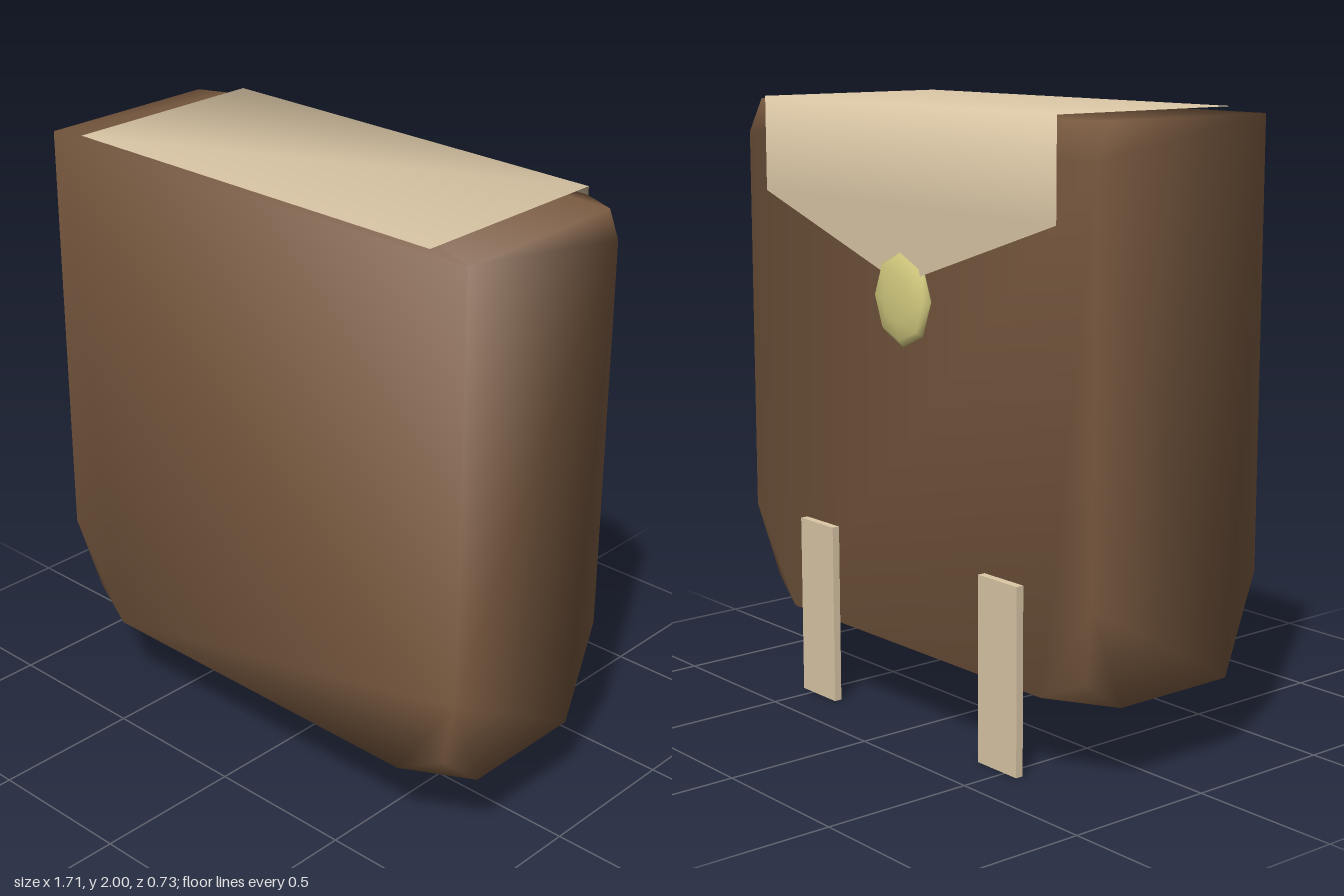
import * as THREE from 'three';
import { mergeVertices } from 'three/addons/utils/BufferGeometryUtils.js';
import { ConvexGeometry } from 'three/addons/geometries/ConvexGeometry.js';

function material(name, color, side = THREE.FrontSide) {
  const m = new THREE.MeshStandardMaterial({ color, side });
  m.name = name;
  return m;
}

function add(group, name, geometry, mat) {
  const mesh = new THREE.Mesh(geometry, mat);
  mesh.name = name;
  group.add(mesh);
  return mesh;
}

// Box whose lower and rear upper corners are trimmed, with soft shared normals
function bodyGeometry() {
  const X = 0.855, bottom = 0.27, top = 1.985, front = 0.365, back = -0.315;
  const points = [];
  for (const s of [-1, 1]) {
    const p = (x, y, z) => points.push(new THREE.Vector3(s * x, y, z));
    for (const z of [front, back]) {
      const d = Math.sign(z);
      p(X, bottom + 0.32, z);
      p(X - 0.07, bottom + 0.07, z - d * 0.04);
      p(X, bottom, z - d * 0.12);
      p(X - 0.22, bottom, z);
    }
    p(X, top, front);
    p(X - 0.12, top, back);
    p(X, top, back + 0.05);
    p(X, top - 0.11, back);
  }
  const g = new ConvexGeometry(points);
  g.deleteAttribute('normal');
  const merged = mergeVertices(g, 1e-4);
  merged.computeVertexNormals();
  return merged;
}

// Folded sheet: flat top, then a pointed panel hanging behind
function flapGeometry() {
  const w = 0.72, back = -0.342;
  const g = new THREE.BufferGeometry();
  g.setAttribute('position', new THREE.Float32BufferAttribute([
    -w, 2, 0.365, w, 2, 0.365,
    -w, 2, back, w, 2, back,
    -w, 1.69, back, w, 1.69, back,
    0, 1.45, back,
  ], 3));
  g.setIndex([0, 1, 3, 0, 3, 2, 2, 3, 5, 2, 5, 4, 4, 5, 6]);
  g.computeVertexNormals();
  return g;
}

export function createModel() {
  const group = new THREE.Group();
  group.name = 'satchel';
  const leather = material('brown leather', 0x7b5b41);
  const canvas = material('beige canvas', 0xdcc8a7, THREE.DoubleSide);
  const brass = material('pale brass', 0xd8cf82);

  add(group, 'body', bodyGeometry(), leather);
  add(group, 'flap', flapGeometry(), canvas);

  // Domed clasp, its pole pointing backwards
  const dome = new THREE.SphereGeometry(1, 8, 6);
  dome.rotateX(-Math.PI / 2);
  dome.scale(0.14, 0.155, 0.033);
  add(group, 'clasp', dome, brass).position.set(0, 1.405, -0.332);

  // Hanging straps
  for (const s of [-1, 1]) {
    const strap = add(group, s > 0 ? 'leftStrap' : 'rightStrap',
      new THREE.BoxGeometry(0.18, 0.6, 0.026), canvas);
    strap.position.set(s * 0.465, 0.3, -0.329);
  }
  return group;
}
